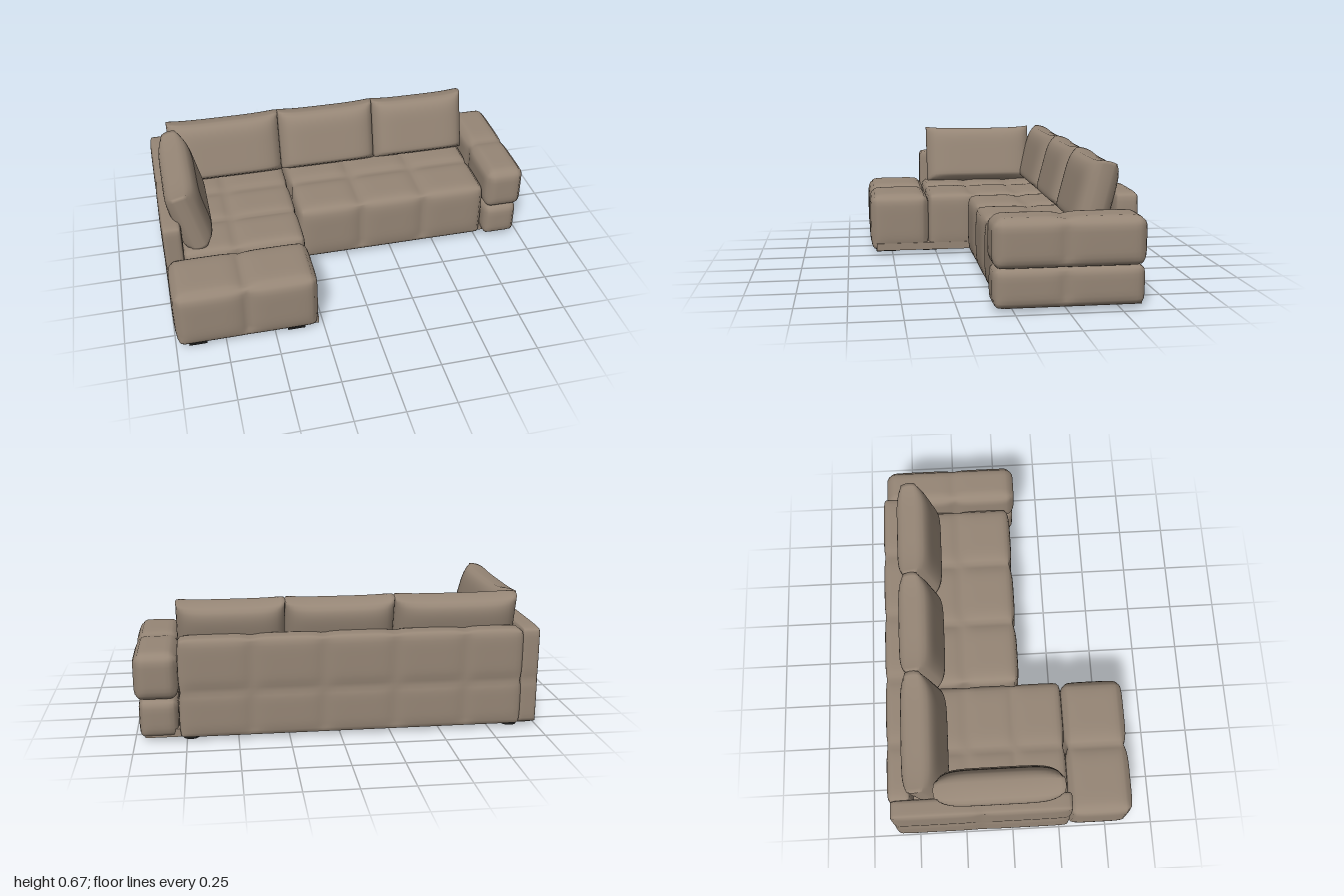
import * as THREE from 'three';
import { mergeVertices } from 'three/addons/utils/BufferGeometryUtils.js';

const fabric = new THREE.MeshStandardMaterial({ color: 0x968676 });
fabric.name = 'taupe fabric';
const black = new THREE.MeshStandardMaterial({ color: 0x1a1a1a });
black.name = 'black feet';

// Weld a displaced box so that its normals are smooth all round
function weld(geometry) {
  geometry.deleteAttribute('uv');
  geometry.deleteAttribute('normal');
  const welded = mergeVertices(geometry, 1e-5);
  welded.computeVertexNormals();
  return welded;
}

// 0 in the middle of a quilted cell, 1 on its seams
function seamPull(value, stops, power) {
  let i = 0;
  while (i < stops.length - 2 && value > stops[i + 1]) i++;
  const t = (value - stops[i]) / (stops[i + 1] - stops[i]);
  return Math.min(1, Math.abs(2 * t - 1) ** power);
}

// Rounded upholstered block between the first and last stop on each axis;
// the stops in between are stitched seams
function quilted(name, xs, ys, zs, radius, depth, power = 5) {
  const stops = [xs, ys, zs];
  const min = stops.map((s) => s[0]);
  const max = stops.map((s) => s[s.length - 1]);
  const size = max.map((m, i) => m - min[i]);
  const seg = size.map((s) => 2 * Math.max(4, Math.round(s / 0.044)));
  const g = new THREE.BoxGeometry(...size, ...seg);
  g.translate(...min.map((m, i) => (m + max[i]) / 2));
  const pos = g.attributes.position;
  const low = new THREE.Vector3(...min).addScalar(radius);
  const high = new THREE.Vector3(...max).subScalar(radius);
  const p = new THREE.Vector3(), core = new THREE.Vector3(), n = new THREE.Vector3();
  for (let i = 0; i < pos.count; i++) {
    p.fromBufferAttribute(pos, i);
    core.copy(p).clamp(low, high);
    n.copy(p).sub(core).normalize();
    let flat = 1;
    p.toArray().forEach((v, a) => {
      flat *= 1 - seamPull(v, stops[a], power) * (1 - n.getComponent(a) ** 2);
    });
    // The underside stays flat
    const inset = depth * (1 - flat) * (1 - Math.max(0, -n.y));
    p.copy(core).addScaledVector(n, radius - inset);
    pos.setXYZ(i, p.x, p.y, p.z);
  }
  const mesh = new THREE.Mesh(weld(g), fabric);
  mesh.name = name;
  return mesh;
}

// Loose pillow with thin edges, a full belly and raised corners
function pillow(name, w, h, t, position, turn) {
  const g = new THREE.BoxGeometry(w, h, t, 28, 20, 6);
  const pos = g.attributes.position;
  for (let i = 0; i < pos.count; i++) {
    const x = pos.getX(i), y = pos.getY(i), z = pos.getZ(i);
    const u = THREE.MathUtils.clamp((2 * x) / w, -1, 1);
    const v = THREE.MathUtils.clamp((2 * y) / h, -1, 1);
    const s = (2 * z) / t;
    const across = (1 - u ** 6) ** 0.7;
    const up = v > 0 ? (1 - v ** 4) ** 0.7 : (1 - v ** 12) ** 0.5;
    const fullness = 0.42 + 0.58 * across * (0.25 + 0.75 * up);
    pos.setXYZ(i,
      x * (1 - 0.02 * s * s),
      y * (1 - 0.03 * s * s) - Math.max(0, v) ** 3 * 0.012 * (1 - u ** 4),
      z * fullness);
  }
  const mesh = new THREE.Mesh(weld(g), fabric);
  mesh.name = name;
  mesh.position.set(...position);
  mesh.rotation.set(-0.25, turn, 0, 'YXZ');
  return mesh;
}

function block(name, x0, x1, y0, y1, z0, z1, material) {
  const mesh = new THREE.Mesh(new THREE.BoxGeometry(x1 - x0, y1 - y0, z1 - z0), material);
  mesh.name = name;
  mesh.position.set((x0 + x1) / 2, (y0 + y1) / 2, (z0 + z1) / 2);
  return mesh;
}

export function createModel() {
  const sofa = new THREE.Group();
  sofa.name = 'cornerSofa';

  // Seats
  sofa.add(
    quilted('mainSeat', [-0.27, 0.08, 0.43, 0.785], [0.02, 0.343], [-0.54, -0.22, 0.075], 0.03, 0.02),
    quilted('chaiseSeat', [-0.91, -0.63, -0.272], [0.02, 0.343], [-0.54, -0.22, 0.03, 0.295], 0.03, 0.016),
    quilted('chaiseFront', [-0.998, -0.635, -0.272], [0.02, 0.343], [0.285, 0.625], 0.04, 0.022),
  );

  // Backrest and the low side wall of the chaise
  sofa.add(
    quilted('backrest', [-0.91, -0.62, -0.27, 0.08, 0.43, 0.785], [0.02, 0.25, 0.512], [-0.63, -0.505], 0.02, 0.012),
    quilted('chaiseSideWall', [-1, -0.898], [0.02, 0.25, 0.512], [-0.615, -0.16, 0.298], 0.015, 0.008, 7),
  );

  // Armrest made of two stacked pads
  sofa.add(
    quilted('armrestLower', [0.785, 0.98], [0.02, 0.215], [-0.615, -0.235, 0.1], 0.035, 0.014),
    quilted('armrestUpper', [0.78, 1], [0.207, 0.443], [-0.615, -0.235, 0.105], 0.045, 0.014),
  );

  // Loose pillows along the back and against the side wall
  [[-0.9, -0.283], [-0.283, 0.258], [0.258, 0.785]].forEach(([a, b], i) => {
    sofa.add(pillow('backPillow' + (i + 1), b - a, 0.34, 0.18, [(a + b) / 2, 0.497, -0.437], 0));
  });
  sofa.add(pillow('sidePillow', 0.645, 0.34, 0.18, [-0.855, 0.497, -0.065], Math.PI / 2));

  // Flat base panels
  sofa.add(
    block('mainBase', -0.265, 0.95, 0.019, 0.06, -0.6, 0.04, fabric),
    block('chaiseBase', -0.97, -0.275, 0.019, 0.06, -0.6, 0.59, fabric),
  );

  // Round feet
  [[0.73, -0.55], [0.73, -0.03], [-0.22, -0.03], [-0.87, -0.55]].forEach(([x, z], i) => {
    const foot = new THREE.Mesh(new THREE.CylinderGeometry(0.04, 0.04, 0.022, 20), black);
    foot.name = 'foot' + (i + 1);
    foot.position.set(x, 0.011, z);
    sofa.add(foot);
  });

  // Sliding rails and their feet under the chaise
  [[-0.89, 0.1], [-0.39, 0.03]].forEach(([x, stub], i) => {
    const rail = new THREE.Group();
    rail.name = 'chaiseRail' + (i + 1);
    rail.add(
      block('railBar', x - 0.035, x + 0.035, 0.01, 0.022, 0.24, 0.59, black),
      block('railFrontFoot', x - 0.045, x + 0.045, 0, 0.02, 0.48, 0.59, black),
      block('railRearFoot', x - 0.045, x + 0.045, 0, 0.02, 0.24, 0.32, black),
      block('railBracket', x, x + 0.045 + stub, 0.008, 0.022, 0.5, 0.58, black),
    );
    sofa.add(rail);
  });

  return sofa;
}
